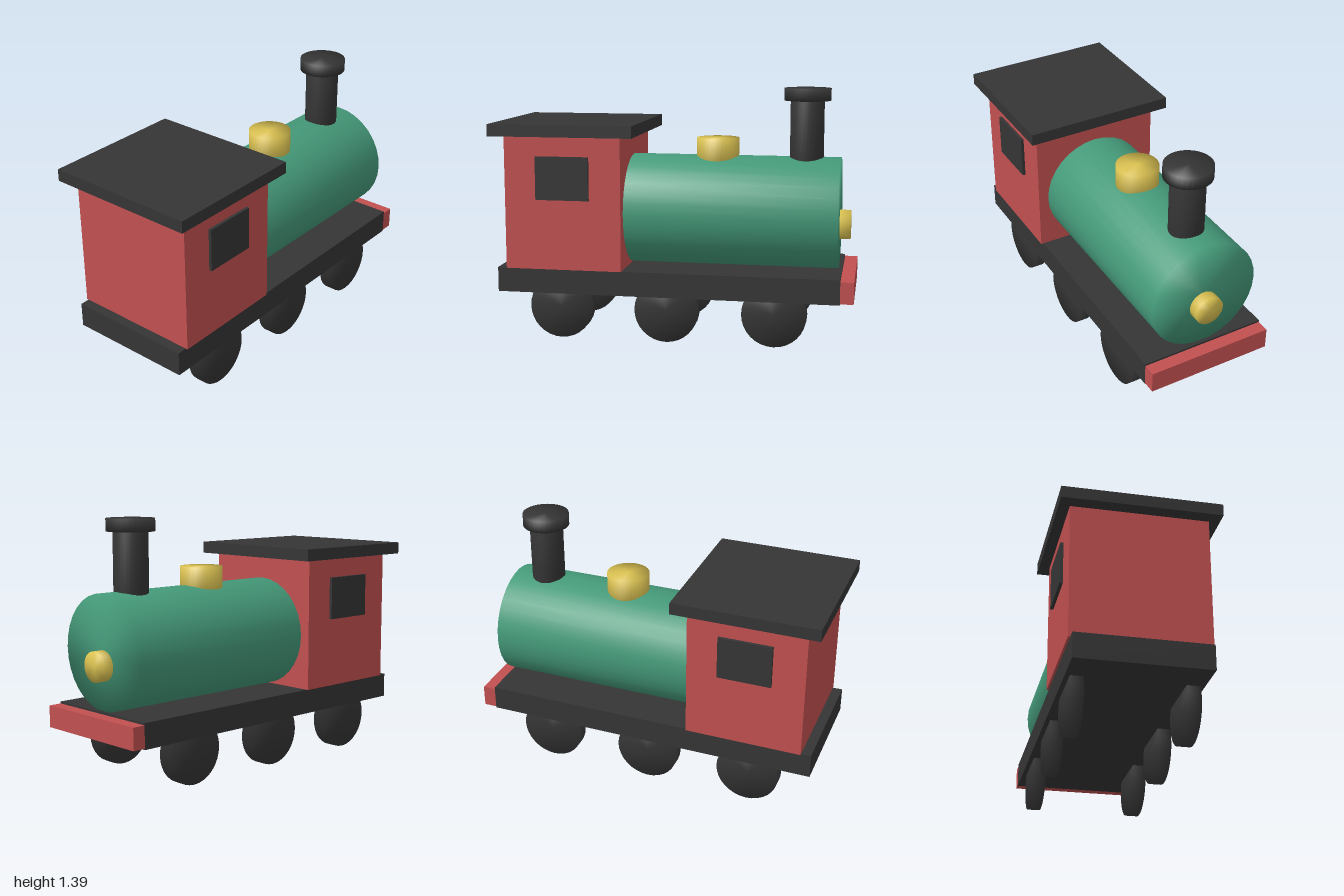
import * as THREE from 'three';
import { mergeVertices } from 'three/addons/utils/BufferGeometryUtils.js';

const paint = (name, color) => {
  const m = new THREE.MeshStandardMaterial({ color });
  m.name = name;
  return m;
};

export function createModel() {
  const red = paint('red', 0xc25050);
  const dark = paint('charcoal', 0x353535);
  const green = paint('green', 0x459a7a);
  const brass = paint('brass', 0xdcc352);
  const train = new THREE.Group();
  train.name = 'toyTrain';

  const add = (name, geometry, material) => {
    const mesh = new THREE.Mesh(geometry, material);
    mesh.name = name;
    train.add(mesh);
    return mesh;
  };

  // Box given by its limits on each axis
  const box = (name, material, [x0, x1], [y0, y1], [z0, z1]) =>
    add(name, new THREE.BoxGeometry(x1 - x0, y1 - y0, z1 - z0), material)
      .position.set((x0 + x1) / 2, (y0 + y1) / 2, (z0 + z1) / 2);

  // Cylinder whose normals blend softly over the rim
  const softCylinder = (radius, length) => {
    const g = new THREE.CylinderGeometry(radius, radius, length, 32);
    g.deleteAttribute('normal');
    g.deleteAttribute('uv');
    const merged = mergeVertices(g, 1e-4);
    merged.computeVertexNormals();
    return merged;
  };
  const upright = (name, material, radius, y0, y1, z) =>
    add(name, softCylinder(radius, y1 - y0), material).position.set(0, (y0 + y1) / 2, z);
  const lengthwise = (name, material, radius, y, z0, z1) =>
    add(name, softCylinder(radius, z1 - z0).rotateX(-Math.PI / 2), material)
      .position.set(0, y, (z0 + z1) / 2);

  // Chassis and buffer beam
  box('chassis', dark, [-0.357, 0.357], [0.256, 0.394], [-0.927, 0.98]);
  box('bufferBeam', red, [-0.357, 0.357], [0.263, 0.383], [-1, -0.927]);

  // Cab with roof
  box('cab', red, [-0.369, 0.369], [0.394, 1.137], [0.27, 0.925]);
  box('roof', dark, [-0.427, 0.427], [1.137, 1.203], [0.194, 1]);

  // Boiler and its fittings
  lengthwise('boiler', green, 0.311, 0.701, -0.905, 0.3);
  lengthwise('lamp', brass, 0.082, 0.635, -0.966, -0.89);
  upright('dome', brass, 0.119, 0.96, 1.111, -0.214);
  upright('chimney', dark, 0.094, 0.95, 1.325, -0.713);
  upright('chimneyCap', dark, 0.13, 1.325, 1.393, -0.713);

  // Side windows and wheels, mirrored
  for (const [label, s] of [['left', 1], ['right', -1]]) {
    const x = [s * 0.36, s * 0.386].sort((a, b) => a - b);
    box(label + 'Window', dark, x, [0.786, 1.026], [0.446, 0.745]);
    [0.621, 0.025, -0.571].forEach((z, i) =>
      add(`${label}Wheel${i + 1}`, softCylinder(0.178, 0.07).rotateZ(Math.PI / 2), dark)
        .position.set(s * 0.297, 0.178, z));
  }
  return train;
}
